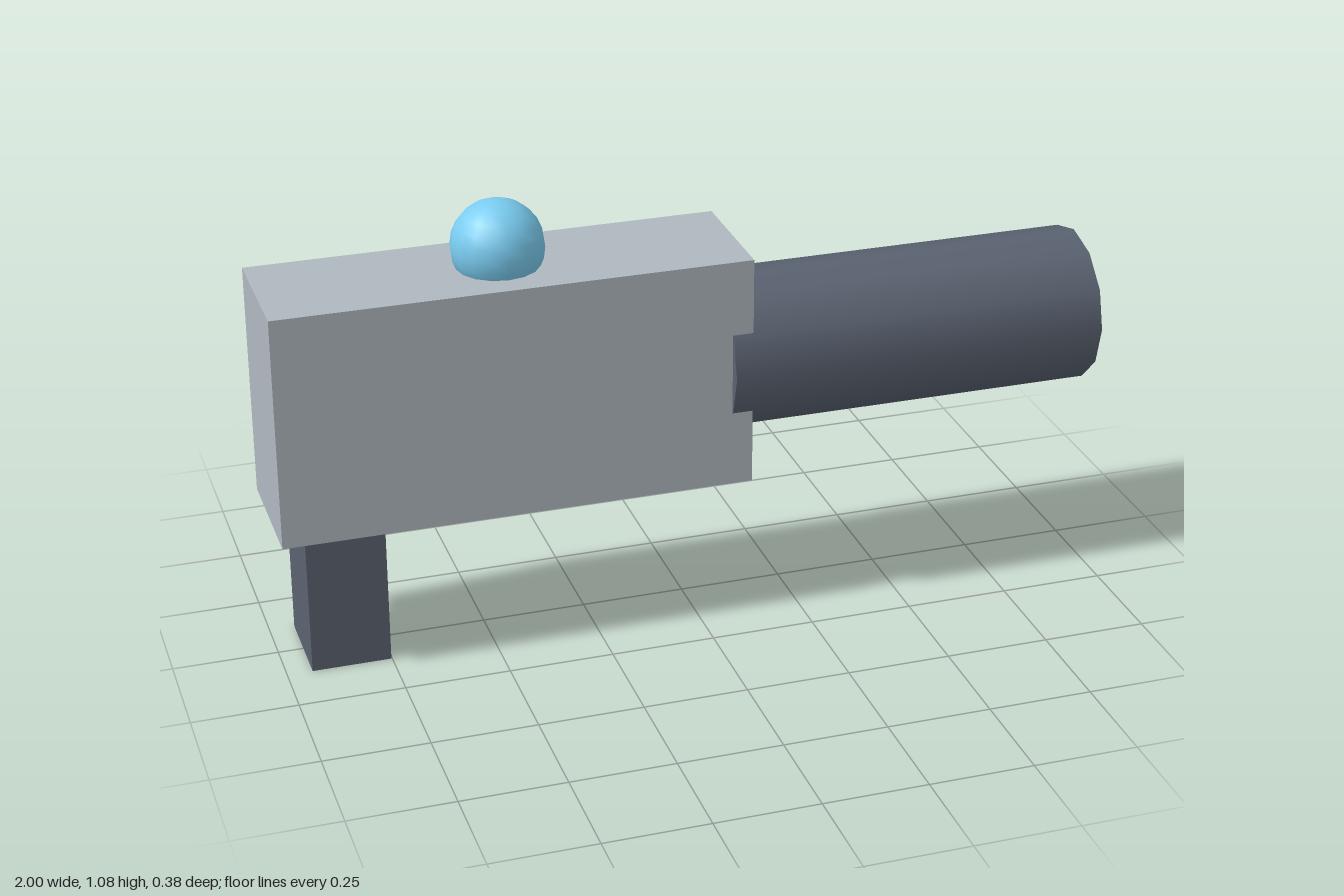
import * as THREE from 'three';

export function createModel() {
  const model = new THREE.Group();
  const lightGrey = new THREE.MeshStandardMaterial({ color: 0xb0b8c0 });
  const darkGrey = new THREE.MeshStandardMaterial({ color: 0x5a6270 });
  const blue = new THREE.MeshStandardMaterial({ color: 0x7accf0 });

  const add = (name, geometry, material, x, y, z = 0) => {
    const mesh = new THREE.Mesh(geometry, material);
    mesh.name = name;
    mesh.position.set(x, y, z);
    model.add(mesh);
    return mesh;
  };

  // Slab body
  add('body', new THREE.BoxGeometry(1.125, 0.566, 0.314), lightGrey, -0.4375, 0.64);

  // Twelve-sided barrel along x, slightly wider than the body
  const barrel = add('barrel', new THREE.CylinderGeometry(0.188, 0.188, 0.925, 12), darkGrey, 0.5375, 0.64);
  barrel.rotation.z = -Math.PI / 2;

  // Grip under the rear end, sunk a little into the body
  add('grip', new THREE.BoxGeometry(0.188, 0.4, 0.22), darkGrey, -0.846, 0.2);

  // Ball half-set into the top
  add('topBall', new THREE.SphereGeometry(0.11, 16, 12), blue, -0.44, 0.97);

  return model;
}
